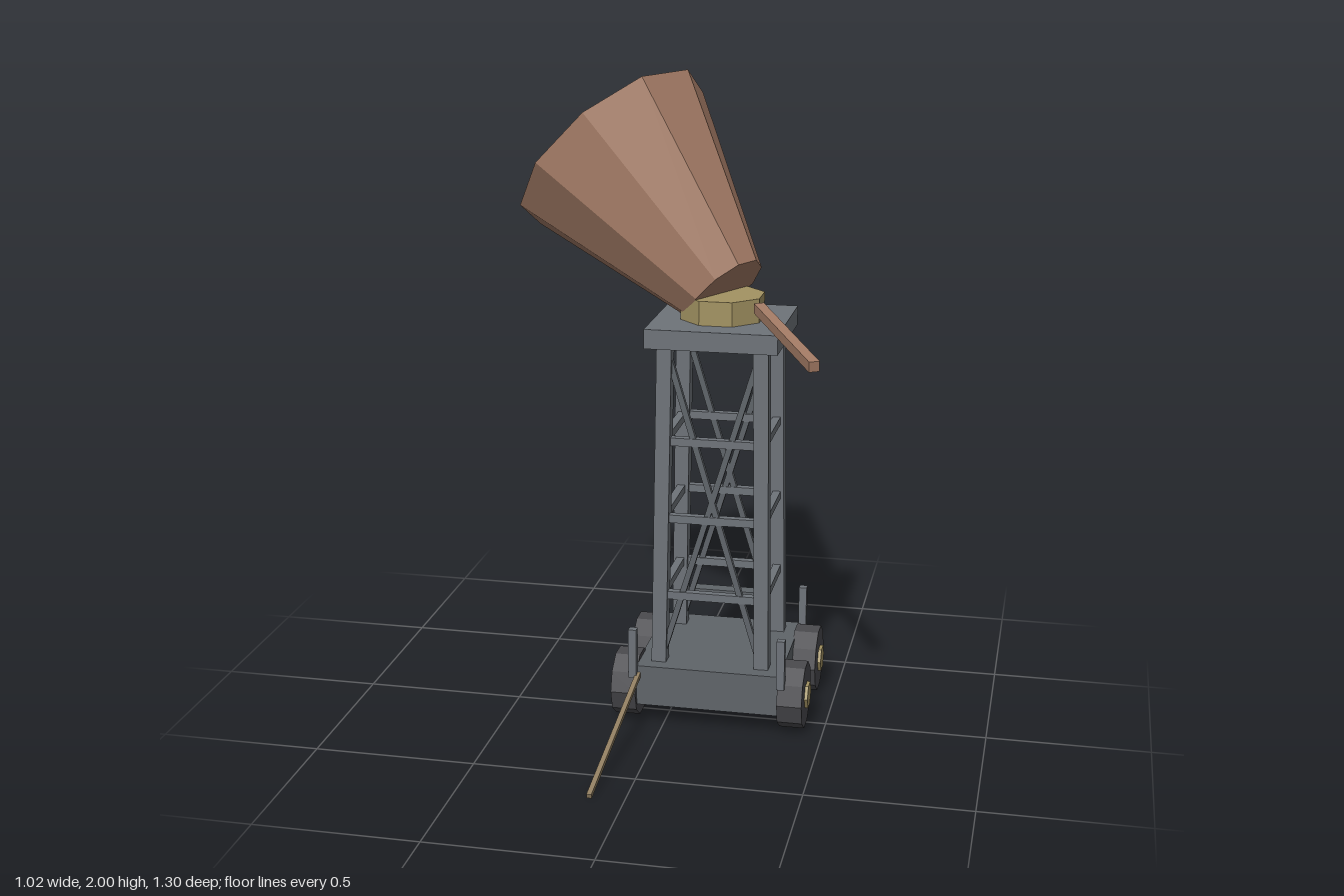
import * as THREE from 'three';

const mat = (color) => new THREE.MeshStandardMaterial({ color, flatShading: true });

export function createModel() {
  const model = new THREE.Group();
  const steel = mat(0x6e7379), darkSteel = mat(0x5f6469), rubber = mat(0x4a4a4e);
  const brass = mat(0xa39362), copper = mat(0xa37b65), wood = mat(0x8f7d60);
  const V = (x, y, z) => new THREE.Vector3(x, y, z);

  const add = (parent, name, geometry, material, x = 0, y = 0, z = 0) => {
    const mesh = new THREE.Mesh(geometry, material);
    mesh.name = name;
    mesh.position.set(x, y, z);
    parent.add(mesh);
    return mesh;
  };
  const box = (parent, name, w, h, d, material, x, y, z) =>
    add(parent, name, new THREE.BoxGeometry(w, h, d), material, x, y, z);

  // Square bar between two points
  const beam = (parent, name, a, b, size, material) => {
    const dir = b.clone().sub(a), length = dir.length();
    dir.normalize();
    const steep = Math.abs(dir.y) > 0.5;
    const geometry = steep
      ? new THREE.BoxGeometry(size, length, size)
      : new THREE.BoxGeometry(size, size, length);
    const mid = a.clone().add(b).multiplyScalar(0.5);
    const mesh = add(parent, name, geometry, material, mid.x, mid.y, mid.z);
    mesh.quaternion.setFromUnitVectors(steep ? V(0, 1, 0) : V(0, 0, 1), dir);
  };

  // Cart and tower share one off-centre vertical axis
  const cart = new THREE.Group();
  cart.name = 'cart';
  const tower = new THREE.Group();
  tower.name = 'tower';
  for (const g of [cart, tower]) {
    g.position.set(0.14, 0, -0.115);
    model.add(g);
  }

  // Chassis
  box(cart, 'chassis', 0.455, 0.13, 0.46, darkSteel, 0, 0.135, 0);
  box(cart, 'underBox', 0.16, 0.03, 0.16, darkSteel, 0, 0.06, 0);
  box(cart, 'rearStep', 0.255, 0.025, 0.045, darkSteel, 0, 0.3, -0.2);

  // Wheels, hubs and corner stakes
  for (const sx of [-1, 1]) {
    for (const sz of [-1, 1]) {
      const wheel = new THREE.CylinderGeometry(0.105, 0.105, 0.078, 10);
      wheel.rotateZ(Math.PI / 2);
      add(cart, 'wheel', wheel, rubber, sx * 0.262, 0.115, sz * 0.15);
      const hub = new THREE.CylinderGeometry(0.042, 0.042, 0.098, 6);
      hub.rotateZ(Math.PI / 2);
      add(cart, 'wheelHub', hub, brass, sx * 0.262, 0.115, sz * 0.15);
      box(cart, 'cornerStake', 0.025, 0.16, 0.025, steel, sx * 0.233, 0.245, sz * 0.235);
    }
  }

  // Four tapering legs
  const half = (y) => 0.162 - 0.014 * (y - 0.2);
  for (const sx of [-1, 1]) {
    for (const sz of [-1, 1]) {
      const lo = half(0.2), hi = half(1.22);
      beam(tower, 'towerLeg', V(sx * lo, 0.2, sz * lo), V(sx * hi, 1.22, sz * hi), 0.046, steel);
    }
  }

  // Rungs on all four sides, crossed braces on front and back
  for (const s of [-1, 1]) {
    for (const y of [0.42, 0.67, 0.917]) {
      const h = half(y);
      beam(tower, 'rung', V(-h, y, s * h), V(h, y, s * h), 0.025, steel);
      beam(tower, 'sideRung', V(s * h, y, -h), V(s * h, y, h), 0.025, steel);
    }
    for (const d of [-1, 1]) {
      beam(tower, 'crossBrace', V(-d * 0.15, 0.23, s * half(0.23)),
        V(d * 0.145, 1.21, s * half(1.21)), 0.018, darkSteel);
    }
  }

  // Platform and turntable
  box(tower, 'platform', 0.406, 0.06, 0.406, steel, 0, 1.245, 0);
  const turntable = new THREE.CylinderGeometry(0.132, 0.132, 0.075, 8);
  turntable.rotateY(Math.PI / 8);
  add(tower, 'turntable', turntable, brass, 0, 1.3125, 0);

  // Tilted horn: its axis and one corner direction set the orientation
  const axis = V(-0.666, 0.657, -0.353).normalize();
  const corner = V(0.14, 0.25, 0.202);
  corner.addScaledVector(axis, -corner.dot(axis)).normalize();
  const horn = add(model, 'horn', new THREE.CylinderGeometry(0.35, 0.14, 0.6, 10), copper);
  horn.position.set(-0.255, 1.75, -0.337).addScaledVector(axis, -0.3);
  horn.quaternion.setFromRotationMatrix(
    new THREE.Matrix4().makeBasis(axis.clone().cross(corner), axis, corner));

  // Steering lever on top, drawbar at the bottom
  beam(model, 'steeringLever', V(0.265, 1.328, -0.037), V(0.495, 1.27, 0.402), 0.031, copper);
  beam(model, 'drawbar', V(-0.077, 0.175, 0.1), V(-0.104, 0.013, 0.65), 0.015, wood);

  return model;
}
